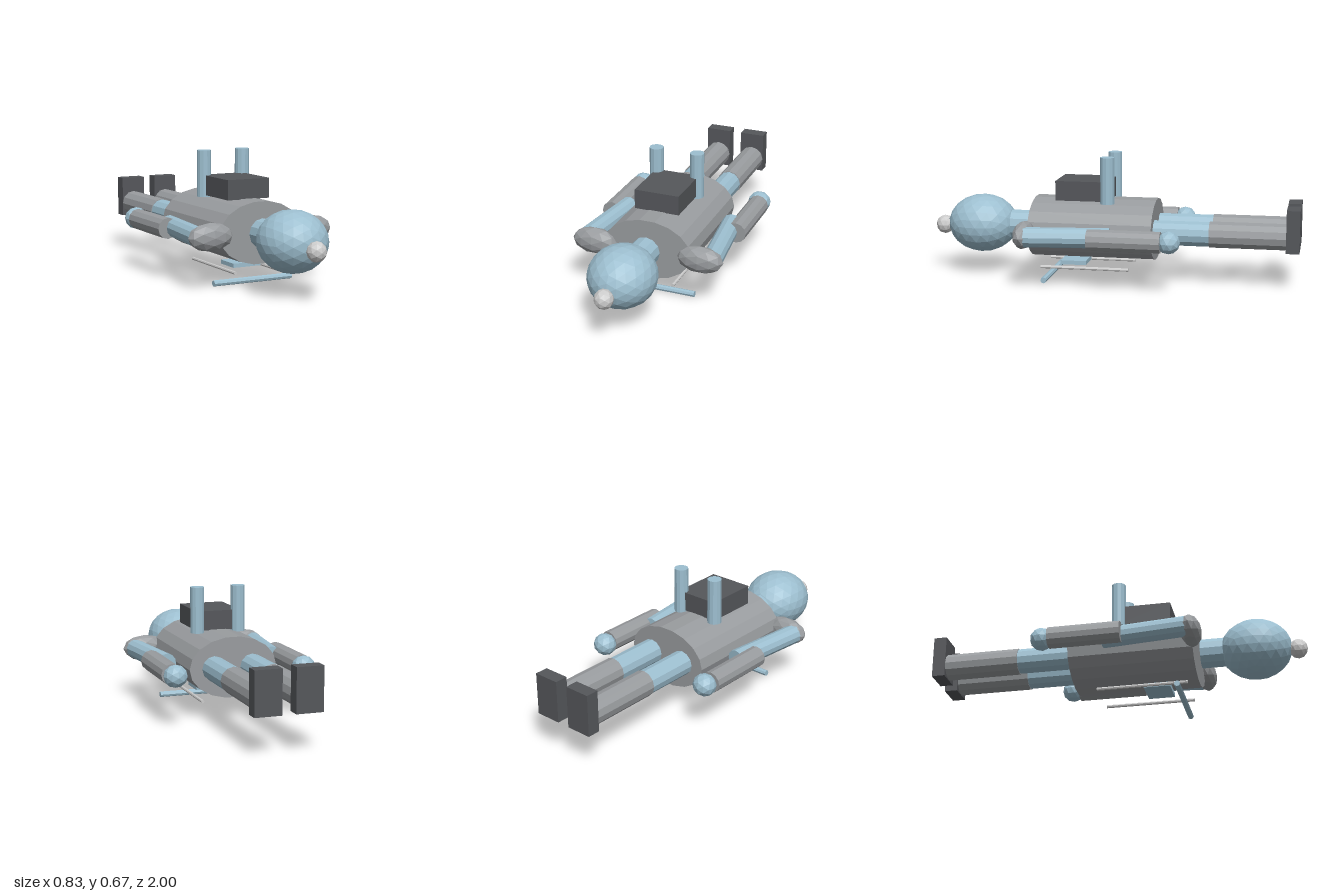
import * as THREE from 'three';

const material = (color) => new THREE.MeshStandardMaterial({ color, flatShading: true });

export function createModel() {
  const group = new THREE.Group();
  const blue = material(0x9dbfd0);
  const grey = material(0x999c9f);
  const pale = material(0xcccccc);
  const dark = material(0x55575b);
  const midY = 0.273;

  function add(name, geometry, mat, x, y, z) {
    const mesh = new THREE.Mesh(geometry, mat);
    mesh.name = name;
    mesh.position.set(x, y, z);
    group.add(mesh);
    return mesh;
  }

  const box = (name, mat, w, h, d, x, y, z) =>
    add(name, new THREE.BoxGeometry(w, h, d), mat, x, y, z);

  // Faceted ellipsoid with radii along x, y and z
  const ball = (name, mat, radii, detail, x, y, z) =>
    add(name, new THREE.IcosahedronGeometry(1, detail).scale(...radii), mat, x, y, z);

  // Cylinder running between two points
  function rod(name, mat, radius, from, to, sides = 12) {
    const a = new THREE.Vector3(...from);
    const b = new THREE.Vector3(...to);
    const dir = b.clone().sub(a);
    const mid = a.clone().add(b).multiplyScalar(0.5);
    const mesh = add(name, new THREE.CylinderGeometry(radius, radius, dir.length(), sides), mat, mid.x, mid.y, mid.z);
    mesh.quaternion.setFromUnitVectors(new THREE.Vector3(0, 1, 0), dir.normalize());
    return mesh;
  }

  // Torso: oval cylinder lying along z, with a flat facet above and below
  const torso = new THREE.CylinderGeometry(1, 1, 0.66, 18);
  torso.rotateY(Math.PI / 18).rotateX(Math.PI / 2).scale(0.24, 0.163, 1);
  add('torso', torso, grey, 0, midY, 0.094);

  // Head, neck and the knob on the crown
  rod('neck', blue, 0.077, [0, midY, 0.44], [0, midY, 0.62]);
  ball('head', blue, [0.176, 0.158, 0.19], 3, 0, midY, 0.73);
  ball('crownKnob', pale, [0.05, 0.052, 0.05], 1, 0, 0.256, 0.95);

  // Pack on the upper side of the torso
  box('pack', dark, 0.245, 0.105, 0.29, 0, 0.483, 0.15);

  for (const s of [1, -1]) {
    const side = s > 0 ? 'left' : 'right';

    // Upright tanks
    rod(side + 'Tank', blue, 0.038, [s * 0.115, 0.42, 0.015], [s * 0.115, 0.668, 0.015]);

    // Leg
    rod(side + 'Thigh', blue, 0.066, [s * 0.105, midY, -0.23], [s * 0.105, midY, -0.54]);
    rod(side + 'Shin', grey, 0.07, [s * 0.105, midY, -0.53], [s * 0.105, midY, -0.94]);
    box(side + 'Foot', dark, 0.14, 0.225, 0.07, s * 0.105, 0.312, -0.965);

    // Arm
    ball(side + 'Shoulder', grey, [0.125, 0.073, 0.055], 1, s * 0.292, midY, 0.427);
    rod(side + 'UpperArm', blue, 0.053, [s * 0.352, midY, 0.43], [s * 0.3, midY, 0.035 - 0.065]);
    rod(side + 'Forearm', grey, 0.056, [s * 0.357, midY, 0.075], [s * 0.357, midY, -0.305]);
    ball(side + 'Hand', blue, [0.063, 0.06, 0.06], 1, s * 0.35, midY, -0.345);

    // Thin rail under the torso
    rod(side + 'Rail', pale, 0.009, [s * 0.123, 0.066, -0.1], [s * 0.123, 0.066, 0.38], 8);
  }

  // Plate and crossbar below the torso
  box('plate', blue, 0.16, 0.022, 0.14, 0, 0.084, 0.21);
  rod('crossbar', blue, 0.016, [-0.23, 0.016, 0.34], [0.23, 0.016, 0.34], 8);

  return group;
}
